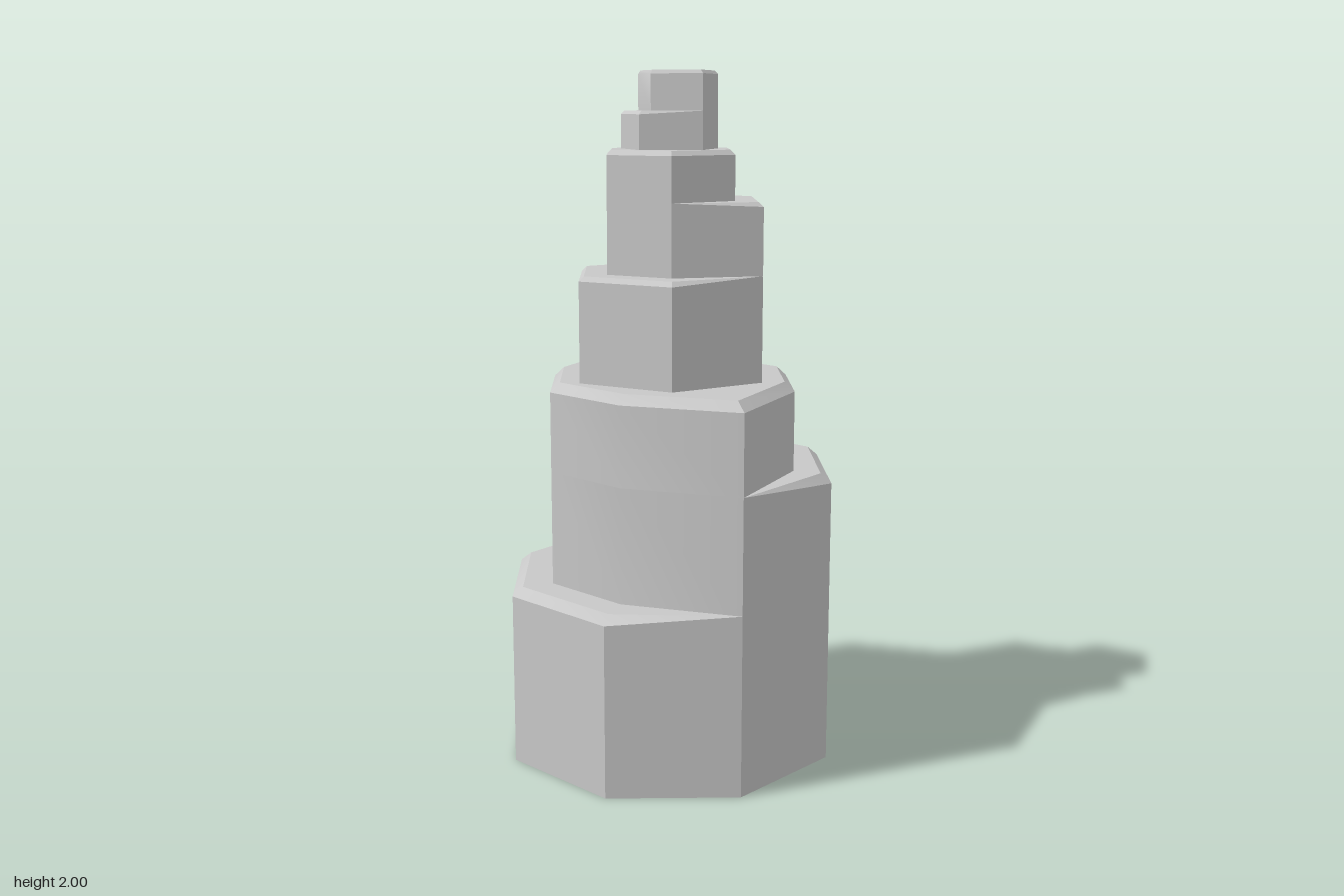
import * as THREE from 'three';
import { toCreasedNormals } from 'three/addons/utils/BufferGeometryUtils.js';

const stone = new THREE.MeshStandardMaterial({ color: 0xc8c8c8 });
stone.name = 'grey stone';

// Prism with a bevelled top rim. Outline points are [x, z, bevelled];
// the bevel pinches to nothing at points without the flag.
function prism(name, outline, y0, y1, bevel, scale) {
  const pos = [];
  const tri = (...pts) => pts.forEach((p) => pos.push(...p));
  const base = outline.map(([x, z]) => [x, y0, z]);
  const rim = outline.map(([x, z, b]) => [x, b ? y1 - bevel : y1, z]);
  const top = outline.map(([x, z, b]) => (b ? [x * scale, y1, z * scale] : [x, y1, z]));
  outline.forEach((p, i) => {
    const j = (i + 1) % outline.length;
    tri(base[i], rim[i], rim[j]);
    tri(base[i], rim[j], base[j]);
    if (outline[i][2]) tri(rim[i], top[i], top[j]);
    if (outline[j][2]) tri(rim[i], top[j], rim[j]);
  });
  const flat = top.map(([x, , z]) => new THREE.Vector2(x, z));
  for (const [a, b, c] of THREE.ShapeUtils.triangulateShape(flat, [])) tri(top[a], top[c], top[b]);
  if (y0 === 0) {
    const foot = outline.map(([x, z]) => new THREE.Vector2(x, z));
    for (const [a, b, c] of THREE.ShapeUtils.triangulateShape(foot, [])) tri(base[a], base[b], base[c]);
  }
  const geo = new THREE.BufferGeometry();
  geo.setAttribute('position', new THREE.Float32BufferAttribute(pos, 3));
  const mesh = new THREE.Mesh(toCreasedNormals(geo, THREE.MathUtils.degToRad(32)), stone);
  mesh.name = name;
  return mesh;
}

export function createModel() {
  const group = new THREE.Group();
  group.name = 'steppedTower';

  // Octagonal base: low half on the right, high half on the left, then the core
  group.add(
    prism('baseLowStep', [
      [0.46, 0.19, 0], [0.19, 0.46, 0], [-0.19, 0.46, 1], [-0.46, 0.19, 1],
      [-0.46, -0.19, 1], [-0.19, -0.46, 0], [0.19, -0.46, 0], [0.46, -0.19, 0],
    ], 0, 0.53, 0.025, 0.935),
    prism('baseHighStep', [
      [0.46, 0.19, 1], [0.19, 0.46, 0], [-0.145, 0.345, 0], [-0.345, 0.145, 0],
      [-0.345, -0.145, 0], [-0.19, -0.46, 0], [0.19, -0.46, 1], [0.46, -0.19, 1],
    ], 0.53, 0.865, 0.027, 0.935),
    prism('baseCore', [
      [0.355, 0.145, 1], [0.19, 0.46, 1], [-0.145, 0.345, 1], [-0.345, 0.145, 1],
      [-0.345, -0.145, 1], [-0.19, -0.46, 1], [0.145, -0.36, 1], [0.355, -0.145, 1],
    ], 0.865, 1.125, 0.027, 0.92),
  );

  // Hexagonal middle
  group.add(
    prism('middleLowStep', [
      [0.26, 0.15, 0], [0, 0.3, 1], [-0.26, 0.15, 1],
      [-0.26, -0.15, 1], [0, -0.3, 0], [0.26, -0.15, 0],
    ], 1.125, 1.43, 0.014, 0.944),
    prism('middleHighStep', [
      [0.26, 0.15, 1], [0, 0.205, 0], [-0.18, 0.105, 0],
      [-0.18, -0.105, 0], [0, -0.3, 1], [0.26, -0.15, 1],
    ], 1.43, 1.637, 0.013, 0.944),
    prism('middleCore', [
      [0.183, 0.09, 1], [0, 0.205, 1], [-0.18, 0.105, 1],
      [-0.18, -0.105, 1], [0, -0.205, 1], [0.183, -0.108, 1],
    ], 1.637, 1.78, 0.014, 0.925),
  );

  // Pentagonal top
  group.add(
    prism('topLowStep', [
      [0.09, 0.12, 0], [-0.088, 0.12, 1], [-0.14, -0.048, 1], [0, -0.15, 0], [0.14, -0.048, 0],
    ], 1.78, 1.888, 0.01, 0.925),
    prism('topCore', [
      [0.09, 0.12, 1], [-0.055, 0.075, 1], [-0.09, -0.03, 1], [0, -0.15, 1], [0.14, -0.048, 1],
    ], 1.888, 2, 0.01, 0.925),
  );
  return group;
}
